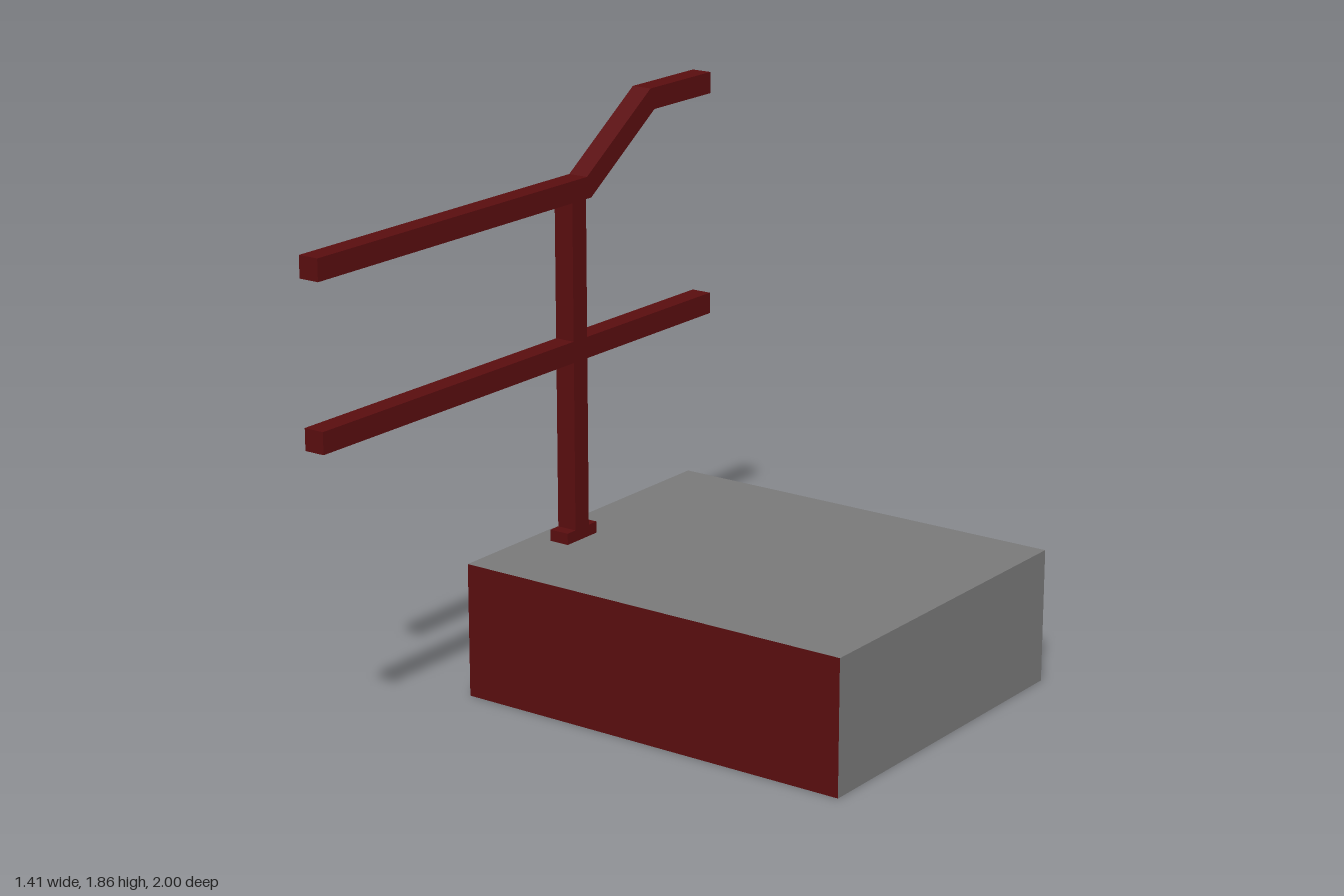
import * as THREE from 'three';

export function createModel() {
  const model = new THREE.Group();
  model.name = 'railingOnPlinth';

  const red = new THREE.MeshStandardMaterial({ color: 0x590d0f });
  red.name = 'dark red';
  const grey = new THREE.MeshStandardMaterial({ color: 0x787878 });
  grey.name = 'concrete grey';

  const railX = -0.595; // centre line of the railing
  const bar = 0.07; // thickness of every bar

  // Box given by its extents
  function box(name, [x0, x1], [y0, y1], [z0, z1], material) {
    const mesh = new THREE.Mesh(new THREE.BoxGeometry(x1 - x0, y1 - y0, z1 - z0), material);
    mesh.position.set((x0 + x1) / 2, (y0 + y1) / 2, (z0 + z1) / 2);
    mesh.name = name;
    model.add(mesh);
  }

  // Plinth: red on the front and the outer side (-x), grey elsewhere
  box('plinth', [-0.703, 0.703], [0, 0.445], [-1, 0.185], [grey, red, grey, grey, red, grey]);

  // Post, its foot and the middle rail
  const across = [railX - bar / 2, railX + bar / 2];
  box('postFoot', across, [0.445, 0.483], [-0.297, -0.145], red);
  box('post', across, [0.483, 1.57], [-0.256, -0.186], red);
  box('middleRail', across, [1.042, 1.112], [-0.925, 1], red);

  // Handrail: level, mitred up the slope, level again (points are z, y)
  const profile = new THREE.Shape([
    [1, 1.56], [1, 1.63], [-0.262, 1.63], [-0.597, 1.855],
    [-0.925, 1.855], [-0.925, 1.785], [-0.618, 1.785], [-0.283, 1.56],
  ].map(([z, y]) => new THREE.Vector2(z, y)));
  const handrail = new THREE.Mesh(
    new THREE.ExtrudeGeometry(profile, { depth: bar, bevelEnabled: false })
      .rotateY(-Math.PI / 2)
      .translate(railX + bar / 2, 0, 0),
    red,
  );
  handrail.name = 'handrail';
  model.add(handrail);

  return model;
}
